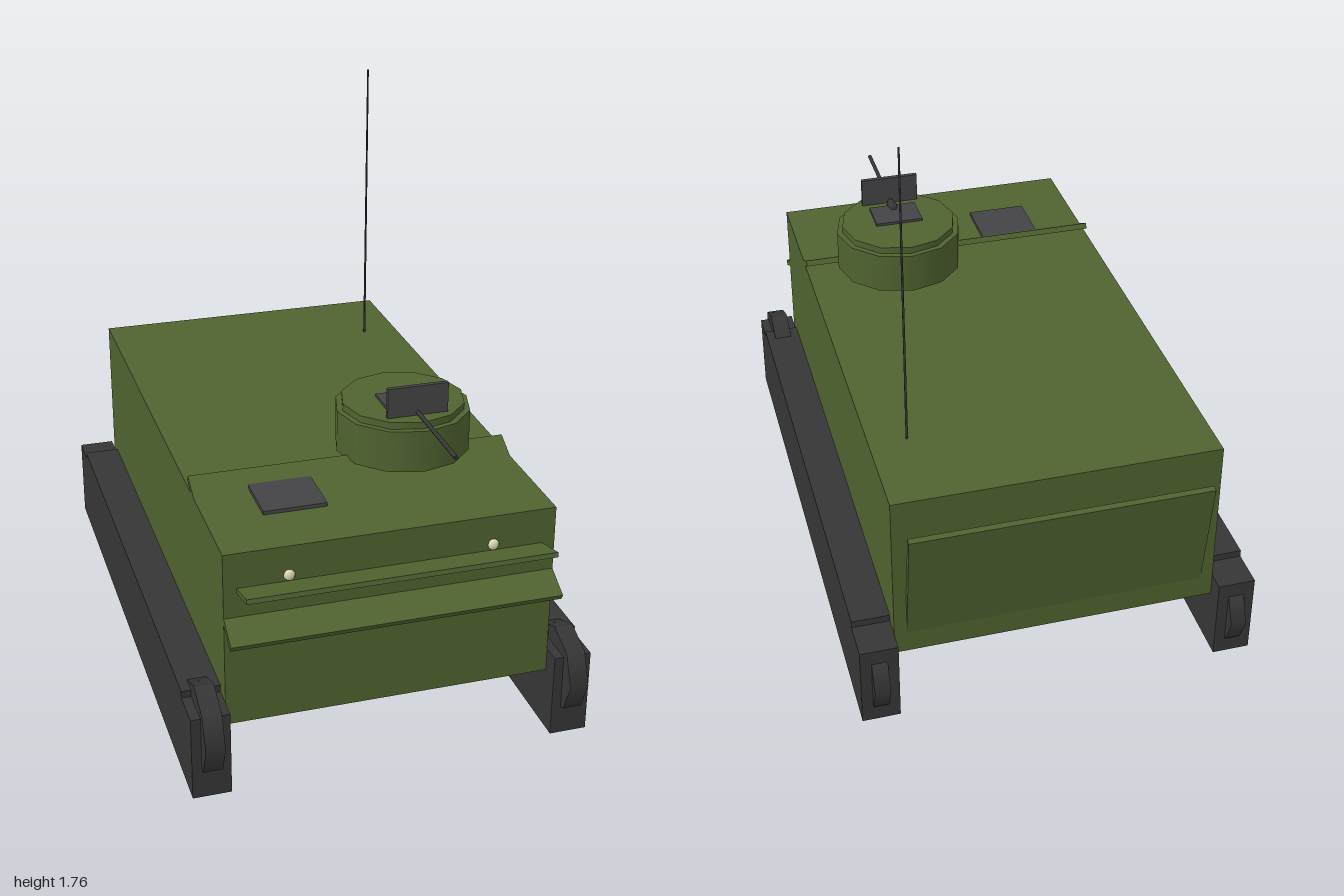
import * as THREE from 'three';

const green = new THREE.MeshStandardMaterial({ color: 0x506330 });
const dark = new THREE.MeshStandardMaterial({ color: 0x363637 });
const grey = new THREE.MeshStandardMaterial({ color: 0x444446 });
const lamp = new THREE.MeshStandardMaterial({ color: 0xe0dcb8 });

export function createModel() {
  const model = new THREE.Group();
  model.name = 'trackedCarrier';

  const add = (name, geometry, material, x, y, z) => {
    const mesh = new THREE.Mesh(geometry, material);
    mesh.name = name;
    mesh.position.set(x, y, z);
    model.add(mesh);
    return mesh;
  };
  const box = (name, material, w, h, d, x, y, z, tilt = 0) => {
    const mesh = add(name, new THREE.BoxGeometry(w, h, d), material, x, y, z);
    mesh.rotation.x = tilt;
    return mesh;
  };

  // Hull and its tilted plates
  box('hull', green, 1.03, 0.575, 1.78, 0, 0.4875, -0.01);
  box('deckSplashPlate', green, 1.03, 0.02, 0.12, 0, 0.778, 0.493, 0.5);
  box('upperFrontPlate', green, 0.95, 0.015, 0.2, 0, 0.658, 0.901, -0.25);
  box('lowerFrontPlate', green, 1.03, 0.02, 0.16, 0, 0.548, 0.89, 0.5);
  box('rearRamp', green, 0.95, 0.44, 0.02, 0, 0.454, -0.917, -0.15);
  box('driverHatch', grey, 0.2, 0.02, 0.185, -0.24, 0.777, 0.5875);

  // Tracks with eight-sided end wheels, mirrored
  for (const [side, s] of [['left', 1], ['right', -1]]) {
    const x = s * 0.575;
    box(side + 'Track', dark, 0.12, 0.277, 1.9, x, 0.1385, -0.01);
    box(side + 'TrackTop', dark, 0.12, 0.04, 1.66, x, 0.28, -0.01);
    const wheel = (name, r, w, y, z) => {
      const mesh = add(name, new THREE.CylinderGeometry(r, r, w, 8), dark, x, y, z);
      mesh.rotation.z = Math.PI / 2;
    };
    wheel(side + 'FrontWheel', 0.14, 0.06, 0.2, 0.86);
    wheel(side + 'RearWheel', 0.12, 0.05, 0.14, -0.88);
  }

  // Headlights
  for (const x of [-0.318, 0.315]) {
    const light = add('headlight', new THREE.SphereGeometry(0.018, 8, 6), lamp, x, 0.682, 0.885);
    light.scale.z = 0.65;
  }

  // Twelve-sided cupola
  const tx = 0.195, tz = 0.388;
  add('cupola', new THREE.CylinderGeometry(0.216, 0.216, 0.137, 12), green, tx, 0.8735, tz);
  add('cupolaTop', new THREE.CylinderGeometry(0.197, 0.197, 0.025, 12), green, tx, 0.9525, tz);
  box('cupolaHatch', grey, 0.162, 0.012, 0.12, tx, 0.968, 0.422);

  // Machine gun with shield
  box('gunShield', grey, 0.197, 0.1, 0.015, tx, 1.013, 0.524);
  const barrel = add('gunBarrel', new THREE.CylinderGeometry(0.007, 0.007, 0.4, 8), dark, tx, 0.975, 0.66);
  barrel.rotation.x = Math.PI / 2;
  const receiver = add('gunReceiver', new THREE.SphereGeometry(0.02, 6, 4), dark, tx, 0.974, 0.482);
  receiver.scale.set(0.9, 0.7, 2);

  // Antenna
  add('antenna', new THREE.CylinderGeometry(0.003, 0.004, 0.99, 6), dark, 0.395, 1.27, -0.6);

  return model;
}
